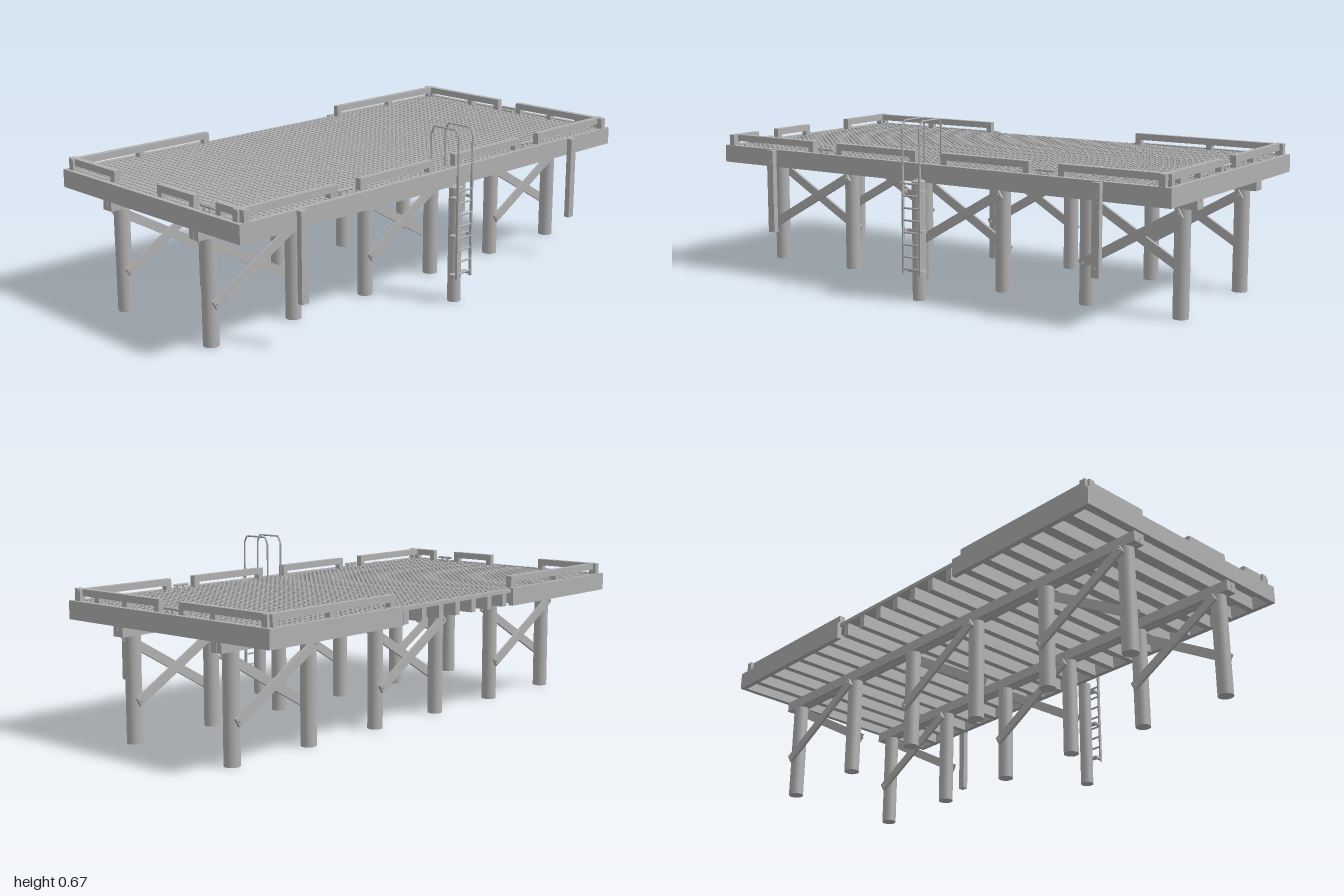
import * as THREE from 'three';
import { mergeGeometries } from 'three/addons/utils/BufferGeometryUtils.js';

export function createModel() {
  const root = new THREE.Group();
  root.name = 'pier';
  const grey = new THREE.MeshStandardMaterial({ color: 0xb0b0b0 });
  grey.name = 'weathered grey';

  const add = (name, geo, x = 0, y = 0, z = 0) => {
    const m = new THREE.Mesh(geo, grey);
    m.name = name;
    m.position.set(x, y, z);
    root.add(m);
    return m;
  };
  // Box given by its limits on each axis
  const box = (name, x0, x1, y0, y1, z0, z1) =>
    add(name, new THREE.BoxGeometry(x1 - x0, y1 - y0, z1 - z0),
      (x0 + x1) / 2, (y0 + y1) / 2, (z0 + z1) / 2);
  const rod = (name, r, len, axis, x, y, z, seg = 8) => {
    const g = new THREE.CylinderGeometry(r, r, len, seg);
    if (axis === 'x') g.rotateZ(Math.PI / 2);
    if (axis === 'z') g.rotateX(Math.PI / 2);
    return add(name, g, x, y, z);
  };

  // Deck planks running lengthwise, with small non-slip pads
  const planks = 20, pitch = 0.96 / planks, pads = [];
  for (let i = 0; i < planks; i++) {
    const z = -0.52 + (i + 0.5) * pitch;
    box('deckPlank', -0.985, 0.985, 0.48, 0.494, z - pitch / 2 + 0.001, z + pitch / 2 - 0.001);
    for (const dz of [-0.012, 0.012])
      for (let k = 0; k < 78; k++) {
        const pad = new THREE.BoxGeometry(0.015, 0.003, 0.015);
        pad.translate(-0.9625 + k * 0.025, 0.495, z + dz);
        pads.push(pad);
      }
  }
  add('deckTread', mergeGeometries(pads));

  // Edge boards; the back is open in the middle
  box('frontBoard', -1, 1, 0.43, 0.498, 0.44, 0.46);
  for (const s of [-1, 1]) {
    box('sideBoard', s < 0 ? -1 : 0.98, s < 0 ? -0.98 : 1, 0.43, 0.498, -0.535, 0.44);
    box('backBoard', s < 0 ? -1 : 0.335, s < 0 ? -0.335 : 1, 0.43, 0.498, -0.545, -0.525);
  }
  box('backDeckEdge', -0.335, 0.335, 0.48, 0.494, -0.535, -0.52);

  // Joists across the deck
  for (let i = 0; i < 19; i++) {
    const x = -0.9 + i * 0.1;
    box('joist', x - 0.013, x + 0.013, 0.43, 0.48, -0.53, 0.44);
  }

  // Two rows of piles with doubled cap beams and crossed braces
  const pileX = [-0.93, -0.55, -0.185, 0.18, 0.545, 0.92];
  for (const z of [0.209, -0.287]) {
    for (const dz of [-0.0125, 0.0125])
      box('capBeam', -0.99, 0.985, 0.39, 0.43, z + dz - 0.0115, z + dz + 0.0115);
    for (const x of pileX) rod('pile', 0.029, 0.39, 'y', x, 0.195, z, 24);
    for (let i = 0; i < 6; i += 2) {
      const xm = (pileX[i] + pileX[i + 1]) / 2, w = pileX[i + 1] - pileX[i];
      const h = 0.215;
      for (const s of [1, -1]) {
        const zb = z + s * 0.034;
        const brace = add('crossBrace',
          new THREE.BoxGeometry(Math.hypot(w, h) + 0.02, 0.034, 0.012), xm, 0.265, zb);
        brace.rotation.z = s * Math.atan2(h, w);
        for (const e of [1, -1])
          rod('braceBolt', 0.006, 0.01, 'z', xm + e * w / 2, 0.265 + s * e * h / 2, zb + s * 0.007);
      }
    }
  }

  // Fender planks on the front
  for (const x of [-0.74, 0.73]) {
    box('fenderPlank', x - 0.015, x + 0.015, 0.17, 0.496, 0.46, 0.482);
    for (const y of [0.2, 0.45]) rod('fenderBolt', 0.005, 0.006, 'z', x, y, 0.482);
  }

  // Curb rails on short blocks
  const curbBlock = (x, z) => box('curbBlock', x - 0.012, x + 0.012, 0.494, 0.516, z - 0.012, z + 0.012);
  const curbX = (a, b, z) => {
    box('curbRail', a, b, 0.515, 0.54, z - 0.012, z + 0.012);
    for (const x of [a + 0.012, b - 0.012]) curbBlock(x, z);
  };
  const curbZ = (x, a, b) => {
    box('curbRail', x - 0.012, x + 0.012, 0.515, 0.5405, a, b);
    for (const z of [a + 0.012, b - 0.012]) curbBlock(x, z);
  };
  for (const s of [-1, 1]) {
    const span = (a, b, z) => curbX(s < 0 ? -b : a, s < 0 ? -a : b, z);
    span(0.06, 0.435, 0.424);
    span(0.555, 0.988, 0.424);
    span(0.355, 0.988, -0.51);
    curbBlock(s * 0.68, -0.51);
  }
  curbZ(-0.967, -0.535, -0.25);
  curbZ(-0.967, 0, 0.2);
  curbZ(-0.967, 0.315, 0.457);
  curbZ(0.963, -0.535, -0.097);
  curbZ(0.963, 0.003, 0.457);
  for (const z of [-0.262, 0.183, 0.333]) curbBlock(0.963, z);

  // Mooring cleats
  const cleat = (x, z, turn) => {
    const g = new THREE.Group();
    g.name = 'cleat';
    const part = (name, geo, px, py) => {
      const m = new THREE.Mesh(geo, grey);
      m.name = name;
      m.position.set(px, py, 0);
      g.add(m);
    };
    part('cleatBase', new THREE.BoxGeometry(0.05, 0.005, 0.018), 0, 0.0025);
    for (const s of [-1, 1])
      part('cleatLeg', new THREE.CylinderGeometry(0.005, 0.008, 0.013, 10), s * 0.014, 0.01);
    const horn = new THREE.CapsuleGeometry(0.005, 0.066, 4, 10);
    horn.rotateZ(Math.PI / 2);
    part('cleatHorn', horn, 0, 0.017);
    g.position.set(x, 0.494, z);
    if (turn) g.rotation.y = Math.PI / 2;
    root.add(g);
  };
  cleat(-0.5, 0.424, false);
  cleat(0.495, 0.424, false);
  cleat(-0.967, 0.26, true);
  cleat(0.963, -0.045, true);

  // Ladder pile with a pointed cap
  rod('ladderPile', 0.025, 0.44, 'y', 0, 0.22, 0.494, 24);
  add('ladderPileCap', new THREE.ConeGeometry(0.026, 0.012, 24), 0, 0.446, 0.494);

  // Ladder with hooped handrails
  for (const s of [-1, 1]) {
    const x = s * 0.038;
    const path = new THREE.CurvePath();
    const pts = [[0.49, 0.538], [0.635, 0.538], [0.662, 0.524], [0.662, 0.42], [0.635, 0.406], [0.494, 0.406]]
      .map(([y, z]) => new THREE.Vector3(x, y, z));
    for (let i = 1; i < pts.length; i++) path.add(new THREE.LineCurve3(pts[i - 1], pts[i]));
    add('ladderHandrail', new THREE.TubeGeometry(path, 60, 0.0035, 8));
    box('ladderRail', x - 0.003, x + 0.003, 0.1, 0.497, 0.533, 0.543);
    for (const y of [0.11, 0.26, 0.405])
      box('ladderBracket', x - 0.006, x + 0.006, y - 0.005, y + 0.005, 0.505, 0.535);
  }
  for (const y of [0.11, 0.26, 0.405])
    box('ladderStrap', -0.044, 0.044, y - 0.005, y + 0.005, 0.505, 0.52);
  for (let i = 0; i < 8; i++) rod('ladderRung', 0.004, 0.076, 'x', 0, 0.12 + i * 0.045, 0.538);

  return root;
}
